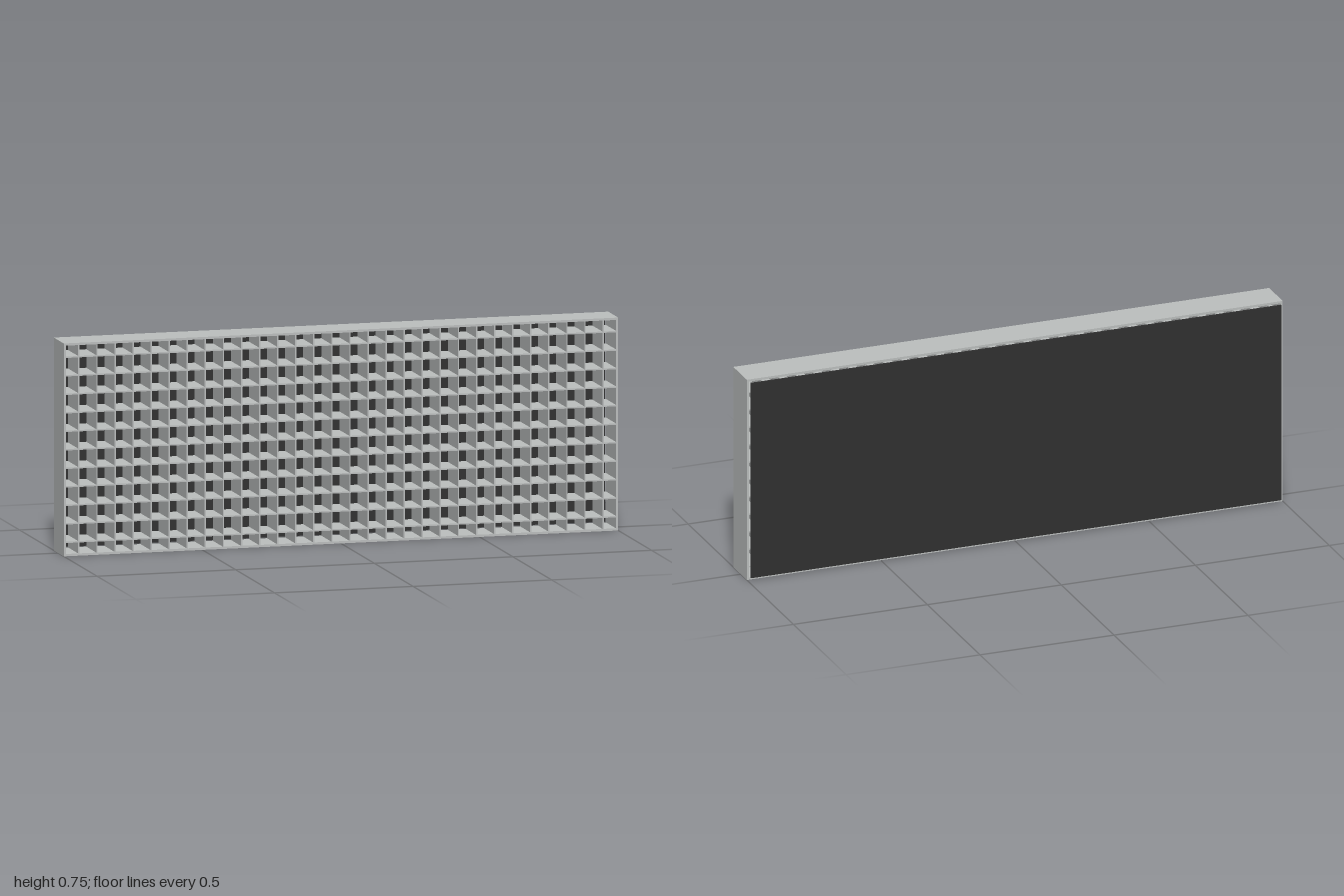
import * as THREE from 'three';

const WIDTH = 2, HEIGHT = 0.75, WALL = 0.008;
const FRONT = 0.071, BACK = -0.058;
const DEPTH = FRONT - BACK, MID_Z = (FRONT + BACK) / 2;
const PITCH = 0.0652, VANE = 0.005;
const COLUMNS = 30, ROWS = 11;

export function createModel() {
  const metal = new THREE.MeshStandardMaterial({ color: 0xbcbfbe });
  metal.name = 'light grey metal';
  const black = new THREE.MeshStandardMaterial({ color: 0x303030 });
  black.name = 'black panel';

  const model = new THREE.Group();
  model.name = 'eggCrateGrille';

  function addBox(parent, name, material, size, position) {
    const mesh = new THREE.Mesh(new THREE.BoxGeometry(...size), material);
    mesh.name = name;
    mesh.position.set(...position);
    parent.add(mesh);
  }

  // Outer frame: a rectangular sleeve, open at front and back
  const w = WIDTH / 2, iw = w - WALL;
  const outline = new THREE.Shape([
    new THREE.Vector2(-w, 0), new THREE.Vector2(w, 0),
    new THREE.Vector2(w, HEIGHT), new THREE.Vector2(-w, HEIGHT),
  ]);
  outline.holes.push(new THREE.Path([
    new THREE.Vector2(-iw, WALL), new THREE.Vector2(-iw, HEIGHT - WALL),
    new THREE.Vector2(iw, HEIGHT - WALL), new THREE.Vector2(iw, WALL),
  ]));
  const frame = new THREE.Mesh(
    new THREE.ExtrudeGeometry(outline, { depth: DEPTH, bevelEnabled: false }), metal);
  frame.name = 'frame';
  frame.position.z = BACK;
  model.add(frame);

  // Crossing vanes, evenly spaced about the centre
  const vanes = new THREE.Group();
  vanes.name = 'vanes';
  for (let i = 0; i < COLUMNS; i++) {
    const x = (i - (COLUMNS - 1) / 2) * PITCH;
    addBox(vanes, 'verticalVane', metal,
      [VANE, HEIGHT - 2 * WALL, DEPTH], [x, HEIGHT / 2, MID_Z]);
  }
  for (let j = 0; j < ROWS; j++) {
    const y = HEIGHT / 2 + (j - (ROWS - 1) / 2) * PITCH;
    addBox(vanes, 'horizontalVane', metal,
      [WIDTH - 2 * WALL, VANE, DEPTH], [0, y, MID_Z]);
  }
  model.add(vanes);

  // Thin panel standing just behind the frame
  addBox(model, 'backPanel', black, [1.98, 0.73, 0.006], [0, HEIGHT / 2, -0.068]);

  return model;
}
